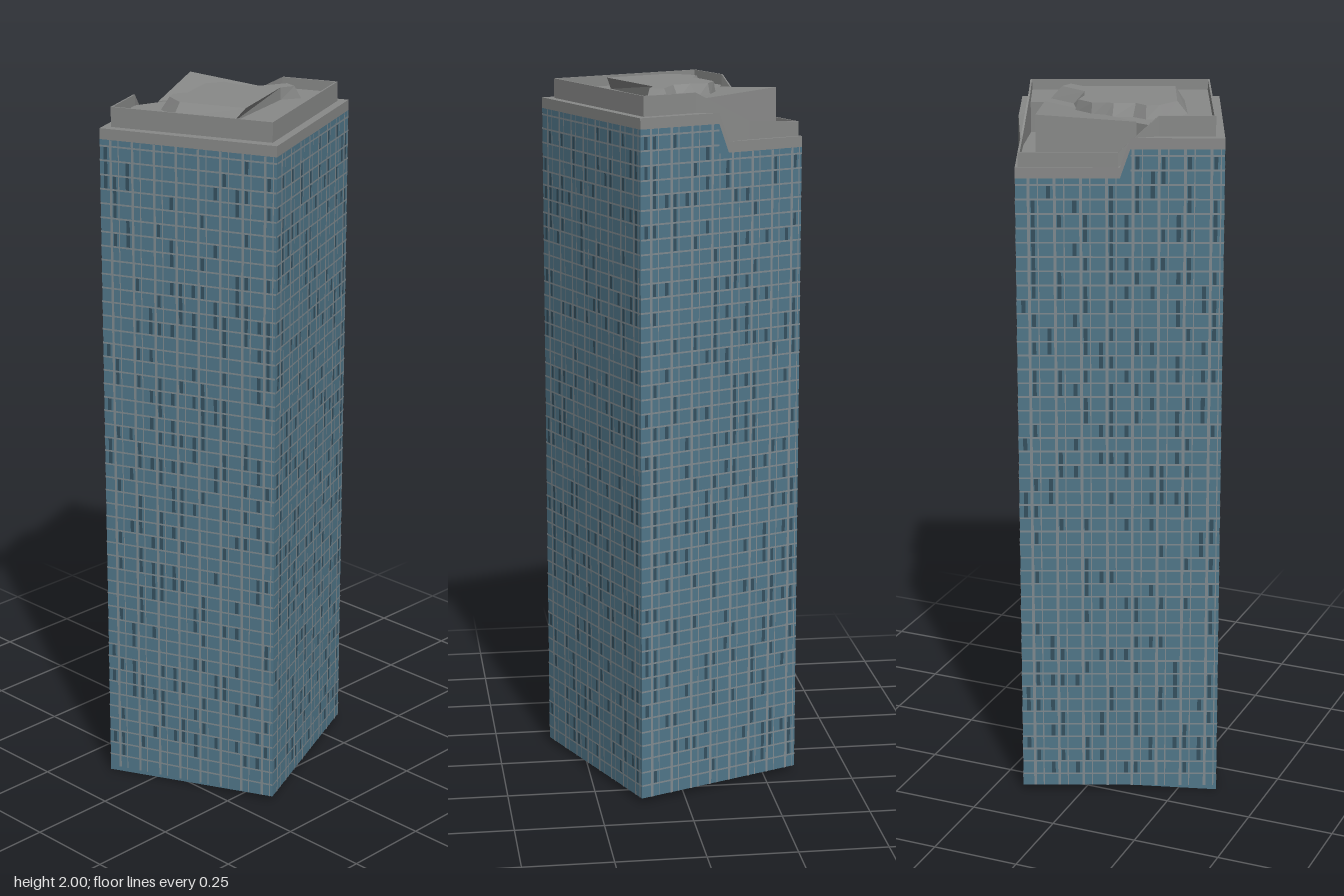
import * as THREE from 'three';
import { mergeGeometries } from 'three/addons/utils/BufferGeometryUtils.js';

const material = (color) => new THREE.MeshStandardMaterial({ color, flatShading: true, side: THREE.DoubleSide });
const glass = material(0x507689);
const darkGlass = material(0x35505f);
const frame = material(0x7f8a90);
const stone = material(0x888988);

// Footprint corners [x, z], counter-clockwise seen from above
const D = [-0.13, 0.355], C = [0.343, 0.16], B = [0.127, -0.357], A = [-0.345, -0.163];
const mix = (p, q, t) => [p[0] + (q[0] - p[0]) * t, p[1] + (q[1] - p[1]) * t];
const BASE = 0.015, TOP = 1.94, LOW = 1.86, BAND = 0.03;

// Skin between loops of [x, y, z] points, optionally closed by a top cap
function loft(loops, cap = false) {
  const n = loops[0].length, pos = loops.flat(2), index = [];
  for (let k = 0; k < loops.length - 1; k++) {
    for (let i = 0; i < n; i++) {
      const a = k * n + i, b = k * n + (i + 1) % n;
      index.push(a, b, b + n, a, b + n, a + n);
    }
  }
  if (cap) {
    const last = loops[loops.length - 1], o = (loops.length - 1) * n;
    const flat = last.map((p) => new THREE.Vector2(p[0], -p[2]));
    for (const f of THREE.ShapeUtils.triangulateShape(flat, [])) index.push(...f.map((i) => i + o));
  }
  const g = new THREE.BufferGeometry();
  g.setAttribute('position', new THREE.Float32BufferAttribute(pos, 3));
  g.setIndex(index);
  const out = g.toNonIndexed();
  out.computeVertexNormals();
  return out;
}
const level = (pts, y) => pts.map(([x, z]) => [x, y, z]);

function add(parent, name, geometry, mat) {
  const mesh = new THREE.Mesh(geometry, mat);
  mesh.name = name;
  parent.add(mesh);
}

let seed = 7;
const random = () => (seed = (seed * 16807) % 2147483647) / 2147483647;

// Window grid on one wall running from p to q; roofline(u) gives the glazing height
function facade(parent, name, p, q, bays, roofline) {
  const dx = q[0] - p[0], dz = q[1] - p[1], length = Math.hypot(dx, dz);
  const wall = new THREE.Group();
  wall.name = name;
  wall.position.set(p[0], 0, p[1]);
  wall.rotation.y = Math.atan2(-dz, dx);
  parent.add(wall);
  const bars = [], panes = [];
  const strip = (list, u0, u1, y0, y1, z) => {
    const g = new THREE.PlaneGeometry((u1 - u0) * length, y1 - y0);
    g.translate((u0 + u1) / 2 * length, (y0 + y1) / 2, z);
    list.push(g);
  };
  // floor lines
  for (let y = 0.05; y < TOP - BAND; y += 0.04) {
    let end = 0, start = 1;
    for (let i = 0; i <= 100; i++) {
      if (roofline(i / 100) > y) { start = Math.min(start, i / 100); end = Math.max(end, i / 100); }
    }
    strip(bars, start, end, y, y + 0.005, 0.0012);
  }
  // mullions: one broad and one fine per bay, with scattered dark panes beside them
  for (let i = 0; i < bays; i++) {
    const u = (i + 0.5) / bays, v = u + 0.36 / bays;
    strip(bars, u - 0.007, u + 0.007, BASE, roofline(u), 0.0016);
    strip(bars, v - 0.003, v + 0.003, BASE, roofline(v), 0.0014);
    for (let y = 0.055; y < roofline(u) - 0.04; y += 0.04) {
      if (random() < 0.4) strip(panes, u + 0.012, u + 0.03, y, y + 0.035, 0.0008);
      if (random() < 0.25) strip(panes, u - 0.04, u - 0.02, y, y + 0.035, 0.0008);
    }
  }
  add(wall, 'windowFrames', mergeGeometries(bars), frame);
  add(wall, 'darkPanes', mergeGeometries(panes), darkGlass);
}

export function createModel() {
  const tower = new THREE.Group();
  tower.name = 'tower';

  // Outer outline with the sunken corner: [point, wall height]
  const outline = [
    [D, TOP], [C, TOP], [B, TOP], [mix(B, A, 0.48), TOP], [mix(B, A, 0.54), LOW],
    [A, LOW], [mix(A, D, 0.5), LOW], [mix(A, D, 0.55), TOP],
  ];
  const at = (drop) => outline.map(([p, h]) => [p[0], h - drop, p[1]]);
  const foot = outline.map(([p]) => [p[0], p === D ? 0 : BASE, p[1]]);
  add(tower, 'glassWalls', loft([foot, at(BAND)]), glass);

  const full = () => TOP - BAND;
  facade(tower, 'frontFacade', D, C, 8, full);
  facade(tower, 'leftFacade', C, B, 8, full);
  facade(tower, 'backFacade', B, A, 8, (u) => (u > 0.48 ? LOW : TOP) - BAND);
  facade(tower, 'rightFacade', A, D, 8, (u) => (u < 0.55 ? LOW : TOP) - BAND);

  // Parapet line: [x, z, top height]
  const parapet = [
    [-0.118, 0.324, 1.995], [0.31, 0.142, 1.995], [0.114, -0.325, 1.995], [-0.035, -0.262, 1.995],
    [-0.19, -0.215, 1.91], [-0.336, -0.158, 1.9], [-0.237, 0.09, 1.9], [-0.178, 0.185, 1.995],
  ];
  const ledge = parapet.map(([x, z], i) => [x, outline[i][1], z]);
  const crest = parapet.map(([x, z, y]) => [x, y, z]);
  const inner = parapet.map(([x, z, y]) => [x * 0.98, y, z * 0.98]);
  const innerFoot = inner.map(([x, , z]) => [x, 1.88, z]);
  add(tower, 'corniceAndParapet', loft([at(BAND), at(0), ledge, crest, inner, innerFoot], true), stone);

  // Main roof deck and the raised flap over the sunken corner
  const east = [-0.02, -0.22], west = [-0.155, 0.11];
  const deck = [[-0.116, 0.318], [0.304, 0.139], [0.112, -0.319], [-0.034, -0.257], east, west, [-0.174, 0.181]];
  add(tower, 'roofDeck', loft([level(deck, 1.88), level(deck, 1.965)], true), stone);
  const flap = [east, [-0.277, -0.132], west];
  const flapTop = flap.map(([x, z], i) => [x, i === 1 ? 1.992 : 1.968, z]);
  add(tower, 'roofFlap', loft([level(flap, 1.885), flapTop], true), stone);

  // Plant room on the roof, sloping from foot to top: [foot x, foot z, top x, top z]
  const plant = [
    [-0.005, 0.2, -0.01, 0.17], [0.15, 0.13, 0.165, 0.095], [0.065, -0.145, 0.065, -0.145],
    [0.092, -0.2, 0.08, -0.185], [0.03, -0.225, 0.042, -0.195], [-0.005, -0.14, 0.005, -0.11],
    [-0.065, -0.105, -0.045, -0.09], [-0.1, -0.095, -0.095, -0.085], [-0.125, -0.035, -0.118, -0.035],
    [-0.11, 0, -0.105, 0], [-0.12, 0.025, -0.098, 0.02], [-0.095, 0.075, -0.075, 0.075],
    [-0.108, 0.118, -0.093, 0.113], [-0.09, 0.165, -0.075, 0.145],
  ];
  add(tower, 'plantRoom', loft([
    plant.map(([x, z]) => [x, 1.964, z]),
    plant.map(([, , x, z]) => [x, 2, z]),
  ], true), stone);

  return tower;
}
